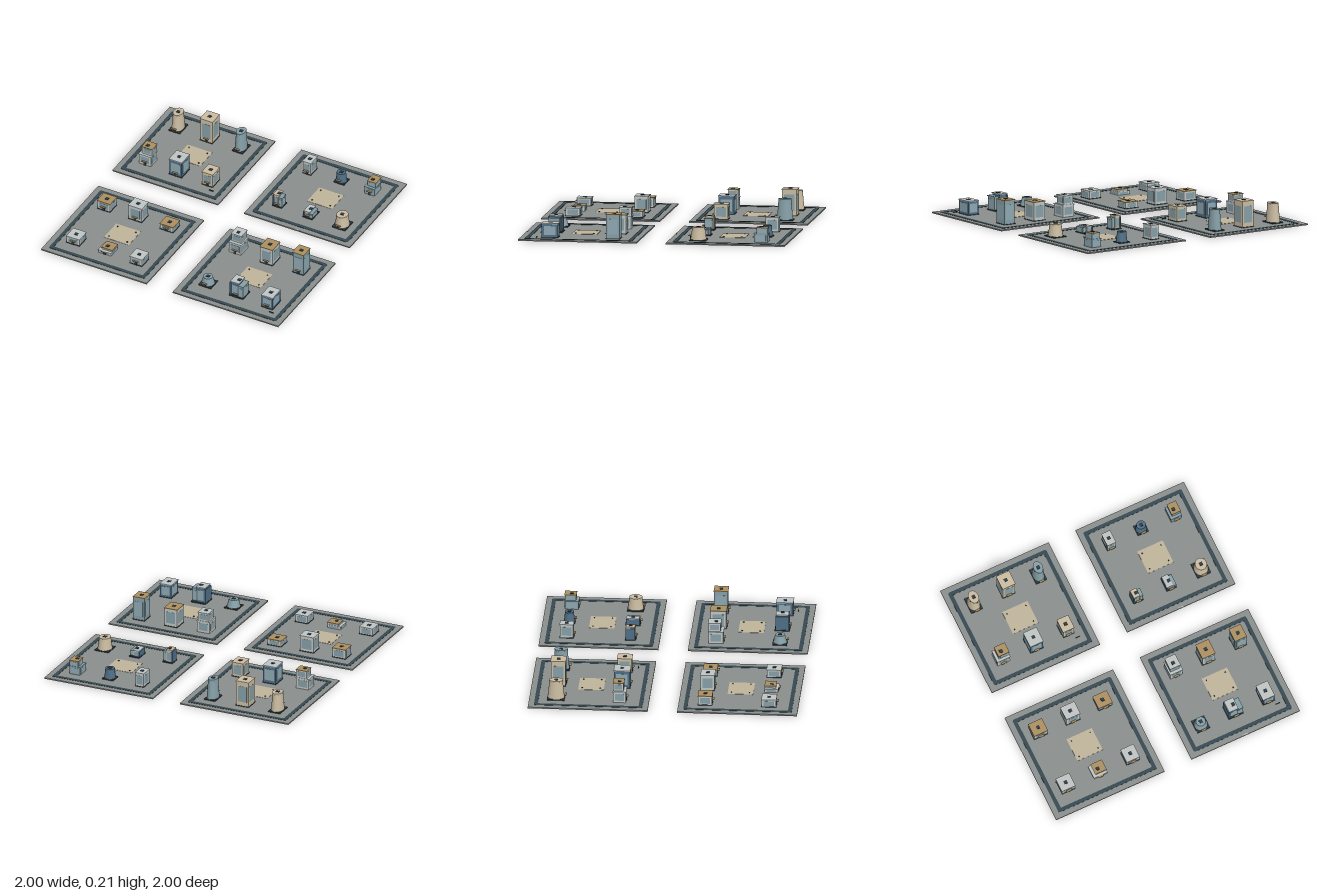
import * as THREE from 'three';

const mat = (color, side = THREE.FrontSide) => new THREE.MeshStandardMaterial({ color, side });
const M = {
  ground: mat(0x8a8f8d), road: mat(0x364850), plaza: mat(0xc0b49a), dark: mat(0x2c383f),
  gold: mat(0xac9060), cream: mat(0xcbbda2), gray: mat(0xc0c6c5), blue: mat(0x86a0a8),
  navy: mat(0x4f6f87), glass: mat(0x8fa9b3),
};
const GROUND = 0.01; // top of the slabs

function add(parent, name, geometry, material, x, y, z) {
  const m = new THREE.Mesh(geometry, M[material]);
  m.name = name;
  m.position.set(x, y, z);
  parent.add(m);
  return m;
}

// Box standing on height y
const box = (parent, name, material, w, h, d, x, y, z) =>
  add(parent, name, new THREE.BoxGeometry(w, h, d), material, x, y + h / 2, z);

// Square volume with a glazed panel on each side and a thin roof slab
function volume(g, w, h, d, x, y, z, wall, roof) {
  const t = 0.006;
  box(g, 'wall', wall, w - 0.006, h - t, d - 0.006, x, y, z);
  box(g, 'roofSlab', roof, w, t, d, x, y + h - t, z);
  const ph = h * 0.62, py = y + h * 0.18;
  const glass = wall === 'blue' || wall === 'navy' ? 'glass' : 'blue';
  box(g, 'sideGlazing', glass, w - 0.004, ph, d * 0.68, x, py, z);
  box(g, 'frontGlazing', glass, w * 0.68, ph, d - 0.004, x, py, z);
}

function vent(g, x, y, z) {
  box(g, 'roofVent', 'dark', 0.026, 0.004, 0.026, x, y - 0.001, z);
}

function entrance(g, d, h) {
  box(g, 'door', 'dark', 0.02, Math.min(0.03, h * 0.5), 0.004, 0, 0, d / 2);
  box(g, 'awning', 'gold', 0.042, 0.004, 0.014, 0, Math.min(0.032, h * 0.55), d / 2 + 0.006);
}

const builders = {
  box(g, { w, d, h, wall, roof }) {
    box(g, 'plinth', 'dark', w, 0.005, d, 0, 0, 0);
    volume(g, w, h, d, 0, 0, 0, wall, roof);
    vent(g, 0, h, 0);
  },
  // Lower block with a smaller block set back on top
  tiered(g, { w, d, h, wall, roof, base = 'gray' }) {
    const low = h * 0.58, uw = w * 0.83, ud = d * 0.83;
    const x = base === 'gray' && roof === 'gray' ? 0 : (w - uw) / 2, z = (ud - d) / 2;
    volume(g, w, low, d, 0, 0, 0, wall, base);
    volume(g, uw, h - low, ud, x, low, z, wall, roof);
    vent(g, 0, h, 0);
  },
  // Tapered oval tower on a dark plinth
  round(g, { w, d, h, wall, taper = 0.82 }) {
    box(g, 'plinth', 'dark', w, 0.008, d, 0, 0, 0);
    const tower = [[0.48, 0.006], [0.48, h * 0.12], [0.46 * (1 + taper) / 2, h * 0.6], [0.48 * taper, h * 0.92]];
    const body = add(g, 'towerBody', new THREE.LatheGeometry(tower.map(p => new THREE.Vector2(...p)), 32), wall, 0, 0, 0);
    body.scale.set(w, 1, d);
    const ring = (name, material, r, y, height) =>
      add(g, name, new THREE.CylinderGeometry(r, r, height, 32), material, 0, y, 0).scale.set(w, 1, d);
    ring('neckBand', 'dark', 0.47 * taper, h * 0.92, 0.006);
    ring('roofCap', wall, 0.48 * taper, h * 0.96, h * 0.07);
    vent(g, 0, h, 0);
  },
  // Main bar with a lower wing on the +x side
  winged(g, { w, d, h, wall, roof }) {
    box(g, 'plinth', 'dark', w, 0.008, d, 0, 0, 0);
    const mw = w * 0.62;
    volume(g, mw, h, d * 0.86, -w * 0.13, 0, 0, wall, roof);
    volume(g, w * 0.38, h * 0.86, d * 0.8, w * 0.31, 0, d * 0.06, 'blue', 'blue');
    box(g, 'sideFin', 'navy', w * 0.12, h * 0.9, d * 0.9, -w * 0.42, 0, 0);
    vent(g, 0, h, 0);
  },
};

// type, width, depth, height, wall, roof, extras: three at the back, then three at the front
const districts = [
  { name: 'backRightDistrict', x: -0.555, z: -0.555, sign: true, lots: [
    ['round', 0.096, 0.13, 0.15, 'cream', 'cream'],
    ['box', 0.107, 0.115, 0.2, 'cream', 'cream'],
    ['round', 0.09, 0.125, 0.163, 'blue', 'blue'],
    ['tiered', 0.108, 0.1, 0.15, 'gray', 'gold'],
    ['box', 0.11, 0.125, 0.14, 'navy', 'gray'],
    ['box', 0.094, 0.112, 0.115, 'cream', 'cream']] },
  { name: 'backLeftDistrict', x: 0.555, z: -0.555, edge: true, lots: [
    ['box', 0.072, 0.105, 0.11, 'gray', 'gray'],
    ['round', 0.09, 0.085, 0.085, 'navy', 'navy'],
    ['tiered', 0.09, 0.108, 0.11, 'blue', 'gold', { base: 'blue' }],
    ['winged', 0.082, 0.08, 0.105, 'cream', 'cream'],
    ['winged', 0.082, 0.112, 0.055, 'gray', 'gray'],
    ['round', 0.112, 0.123, 0.1, 'cream', 'cream']] },
  { name: 'frontRightDistrict', x: -0.555, z: 0.555, lots: [
    ['box', 0.112, 0.107, 0.075, 'gray', 'gold'],
    ['box', 0.116, 0.107, 0.125, 'gray', 'gray'],
    ['box', 0.116, 0.107, 0.05, 'gray', 'gold'],
    ['box', 0.112, 0.112, 0.06, 'gray', 'gray'],
    ['tiered', 0.112, 0.105, 0.045, 'gray', 'gold'],
    ['box', 0.107, 0.112, 0.062, 'gray', 'gray']] },
  { name: 'frontLeftDistrict', x: 0.555, z: 0.555, sign: true, edge: true, lots: [
    ['tiered', 0.106, 0.116, 0.16, 'gray', 'gray'],
    ['box', 0.108, 0.123, 0.145, 'gray', 'gold'],
    ['box', 0.097, 0.108, 0.185, 'blue', 'gold'],
    ['round', 0.106, 0.107, 0.068, 'blue', 'blue', { taper: 0.72 }],
    ['winged', 0.12, 0.112, 0.128, 'navy', 'gray'],
    ['box', 0.097, 0.128, 0.107, 'navy', 'gray']] },
];

// Rounded square outline
function outline(s, r, target) {
  target.moveTo(-s + r, -s);
  target.lineTo(s - r, -s).quadraticCurveTo(s, -s, s, -s + r);
  target.lineTo(s, s - r).quadraticCurveTo(s, s, s - r, s);
  target.lineTo(-s + r, s).quadraticCurveTo(-s, s, -s, s - r);
  target.lineTo(-s, -s + r).quadraticCurveTo(-s, -s, -s + r, -s);
  return target;
}

function district({ name, x, z, lots, sign, edge }) {
  const g = new THREE.Group();
  g.name = name;
  g.position.set(x, 0, z);
  box(g, 'groundSlab', 'ground', 0.89, GROUND, 0.89, 0, 0, 0);

  // Ring road
  const shape = outline(0.403, 0.015, new THREE.Shape());
  shape.holes.push(outline(0.374, 0.008, new THREE.Path()));
  const road = new THREE.ExtrudeGeometry(shape, { depth: 0.002, bevelEnabled: false, curveSegments: 4 });
  add(g, 'ringRoad', road.rotateX(-Math.PI / 2), 'road', 0, GROUND, 0);

  // Plaza with corner posts
  box(g, 'plaza', 'plaza', 0.208, 0.002, 0.19, 0, GROUND, 0);
  for (const sx of [-1, 1]) for (const sz of [-1, 1])
    add(g, 'plazaPost', new THREE.CylinderGeometry(0.005, 0.005, 0.007, 10), 'dark', sx * 0.077, GROUND + 0.004, sz * 0.067);

  if (sign) box(g, 'lowSign', 'dark', 0.036, 0.008, 0.004, 0.32, GROUND, 0.323);
  if (edge) box(g, 'edgeMarker', 'gray', 0.04, 0.002, 0.008, 0, GROUND, 0.439);

  // Buildings in two rows of three
  lots.forEach(([type, w, d, h, wall, roof, extra], i) => {
    const b = new THREE.Group();
    b.name = type + 'Building';
    b.position.set((i % 3 - 1) * 0.265, GROUND, i < 3 ? -0.247 : 0.227);
    builders[type](b, { w, d, h, wall, roof, ...extra });
    entrance(b, d, h);
    g.add(b);
  });
  return g;
}

export function createModel() {
  const model = new THREE.Group();
  model.name = 'cityDistricts';
  districts.forEach(spec => model.add(district(spec)));
  return model;
}
